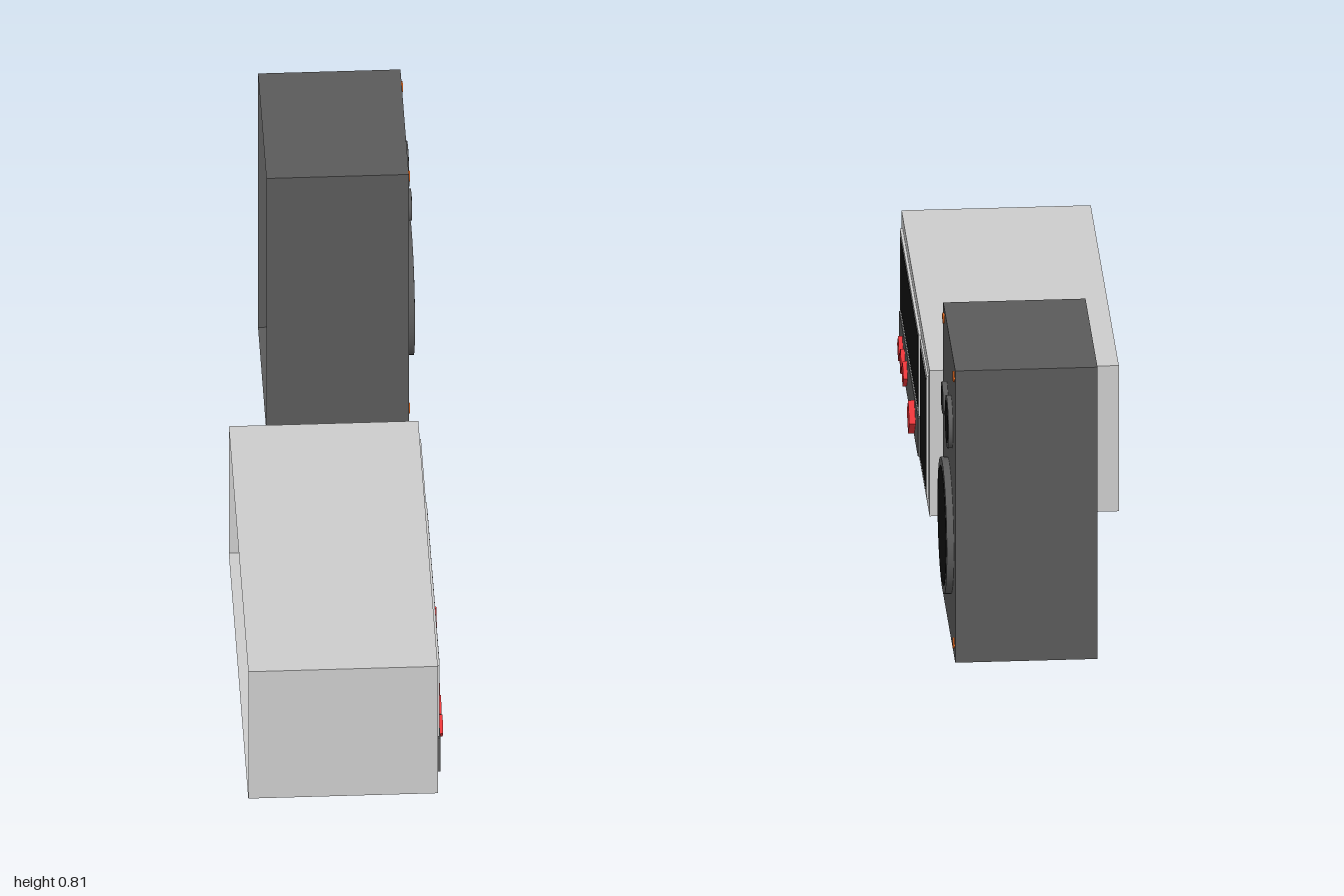
import * as THREE from 'three';

const mat = (color, side = THREE.FrontSide) =>
  new THREE.MeshStandardMaterial({ color, side, flatShading: false });

export function createModel() {
  const model = new THREE.Group();
  const grey = mat(0xcccccc), dark = mat(0x5a5a5a), black = mat(0x101010);
  const red = mat(0xe83438), orange = mat(0xf87020);
  const greyShell = mat(0xcccccc, THREE.DoubleSide), darkShell = mat(0x5a5a5a, THREE.DoubleSide);

  const add = (parent, name, geometry, material) => {
    const mesh = new THREE.Mesh(geometry, material);
    mesh.name = name;
    parent.add(mesh);
    return mesh;
  };

  // Box given by its limits on each axis
  const boxGeometry = (x0, x1, y0, y1, z0, z1) =>
    new THREE.BoxGeometry(x1 - x0, y1 - y0, z1 - z0)
      .translate((x0 + x1) / 2, (y0 + y1) / 2, (z0 + z1) / 2);
  const box = (parent, name, material, ...limits) =>
    add(parent, name, boxGeometry(...limits), material);

  // Cabinet: a box left open at its -x back
  const cabinet = (parent, name, material, ...limits) => {
    const g = boxGeometry(...limits);
    const index = Array.from(g.index.array);
    index.splice(6, 6);
    g.setIndex(index);
    g.clearGroups();
    return add(parent, name, g, material);
  };

  // Disc whose axis runs along x
  const disc = (parent, name, material, r, x0, x1, y, z) =>
    add(parent, name, new THREE.CylinderGeometry(r, r, x1 - x0, 48)
      .rotateZ(-Math.PI / 2).translate((x0 + x1) / 2, y, z), material);

  // Receiver
  const receiver = new THREE.Group();
  receiver.name = 'receiver';
  model.add(receiver);
  cabinet(receiver, 'receiverCabinet', greyShell, -0.255, 0.228, 0, 0.403, -0.045, 1);
  box(receiver, 'displayFrame', grey, -0.055, 0.235, 0.147, 0.372, 0.259, 0.955);
  box(receiver, 'displayScreen', black, 0.2, 0.236, 0.165, 0.36, 0.28, 0.925);
  box(receiver, 'grilleFrame', grey, -0.055, 0.233, 0.033, 0.372, -0.01, 0.235);
  box(receiver, 'grille', black, 0.2, 0.234, 0.052, 0.355, 0.008, 0.217);
  box(receiver, 'controlPanel', dark, -0.035, 0.237, 0.036, 0.143, 0.259, 0.957);

  // Square knobs standing on one corner: z, side, outer x
  const knobs = [[0.835, 0.049, 0.248], [0.752, 0.049, 0.248], [0.671, 0.049, 0.248], [0.39, 0.065, 0.253]];
  for (const [z, side, x1] of knobs) {
    const g = new THREE.BoxGeometry(x1 - 0.22, side, side).rotateX(Math.PI / 4)
      .translate((x1 + 0.22) / 2, 0.091, z);
    add(receiver, 'knob', g, red);
  }

  // Loudspeaker
  const speaker = new THREE.Group();
  speaker.name = 'loudspeaker';
  model.add(speaker);
  cabinet(speaker, 'speakerCabinet', darkShell, -0.135, 0.228, 0, 0.807, -1, -0.553);

  // Drivers: name, rim radius, cone radius, outer x, y, z
  const drivers = [
    ['woofer', 0.175, 0.154, 0.246, 0.285, -0.775],
    ['midrange', 0.068, 0.055, 0.24, 0.605, -0.853],
    ['tweeter', 0.041, 0.029, 0.241, 0.605, -0.695],
  ];
  for (const [name, rim, cone, x1, y, z] of drivers) {
    disc(speaker, name + 'Rim', dark, rim, 0.21, x1, y, z);
    disc(speaker, name + 'Cone', black, cone, 0.212, x1 + 0.001, y, z);
  }

  // Corner screws
  for (const y of [0.04, 0.778])
    for (const z of [-0.967, -0.586])
      disc(speaker, 'screw', orange, 0.014, 0.21, 0.232, y, z);

  return model;
}
